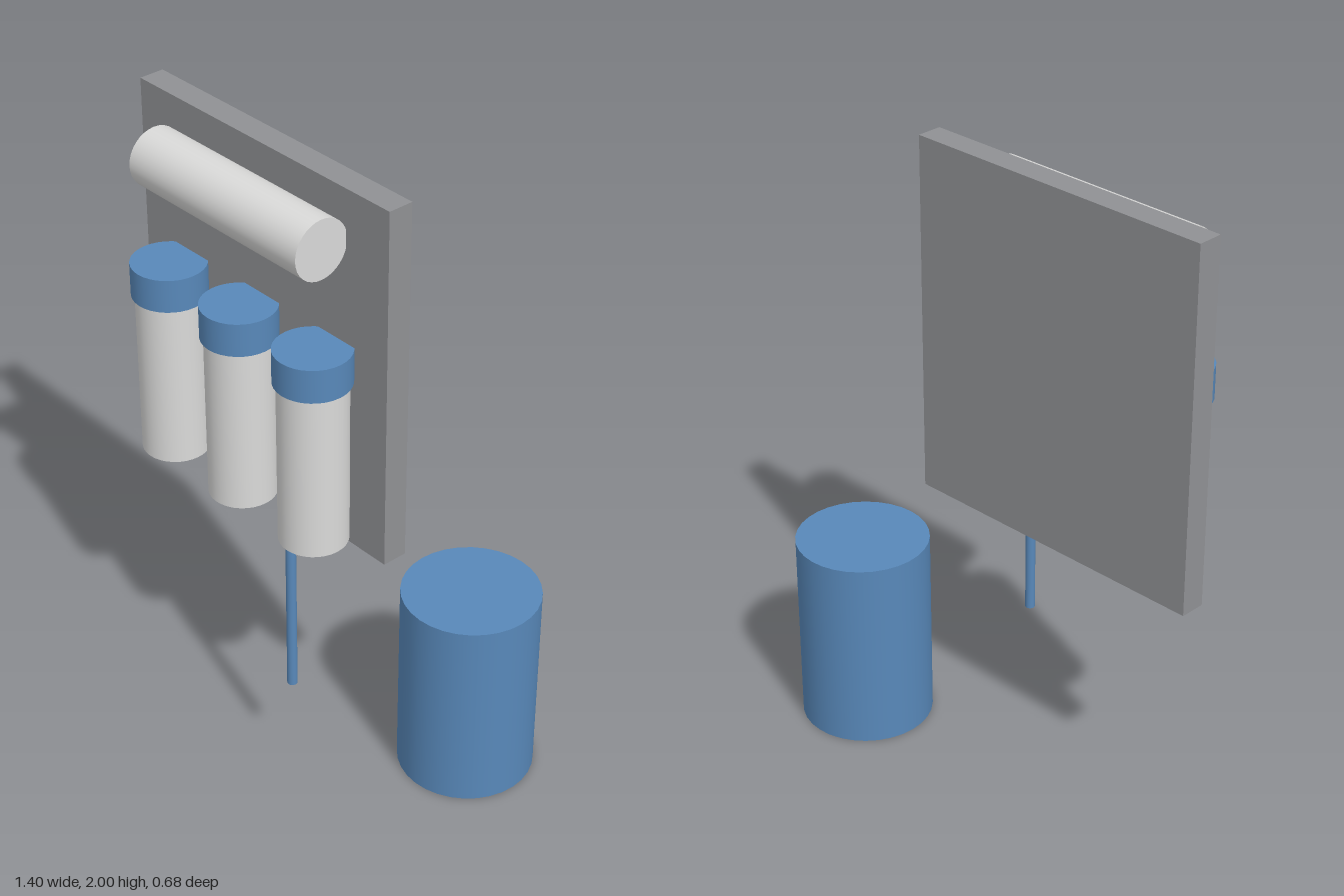
import * as THREE from 'three';

export function createModel() {
  const model = new THREE.Group();
  const material = (name, color) => {
    const m = new THREE.MeshStandardMaterial({ color });
    m.name = name;
    return m;
  };
  const grey = material('panel grey', 0x909194);
  const white = material('housing white', 0xdadad9);
  const blue = material('cap blue', 0x5888b9);

  const add = (name, geometry, mat, x, y, z, parent = model) => {
    const mesh = new THREE.Mesh(geometry, mat);
    mesh.name = name;
    mesh.position.set(x, y, z);
    parent.add(mesh);
    return mesh;
  };
  // Upright closed cylinder spanning y0 to y1
  const upright = (name, r, y0, y1, mat, x, z, parent) =>
    add(name, new THREE.CylinderGeometry(r, r, y1 - y0, 32), mat, x, (y0 + y1) / 2, z, parent);

  // Mounting panel
  add('backPanel', new THREE.BoxGeometry(1.078, 1.184, 0.083), grey, -0.164, 1.408, 0.091);

  // Three capped filter housings, partly sunk into the panel
  [-0.489, -0.164, 0.161].forEach((x, i) => {
    const filter = new THREE.Group();
    filter.name = `filterHousing${i + 1}`;
    upright('filterBody', 0.107, 0.848, 1.397, white, x, 0.221, filter);
    upright('filterCap', 0.118, 1.397, 1.506, blue, x, 0.221, filter);
    model.add(filter);
  });

  // Horizontal membrane housing
  const membrane = add('membraneHousing', new THREE.CylinderGeometry(0.095, 0.095, 0.73, 32), white, -0.164, 1.842, 0.222);
  membrane.rotation.z = Math.PI / 2;

  // Drain pipe below the last housing
  upright('drainPipe', 0.016, 0.33, 0.87, blue, 0.16, 0.31);

  // Storage tank
  upright('storageTank', 0.215, 0, 0.65, blue, 0.485, -0.126);

  return model;
}
